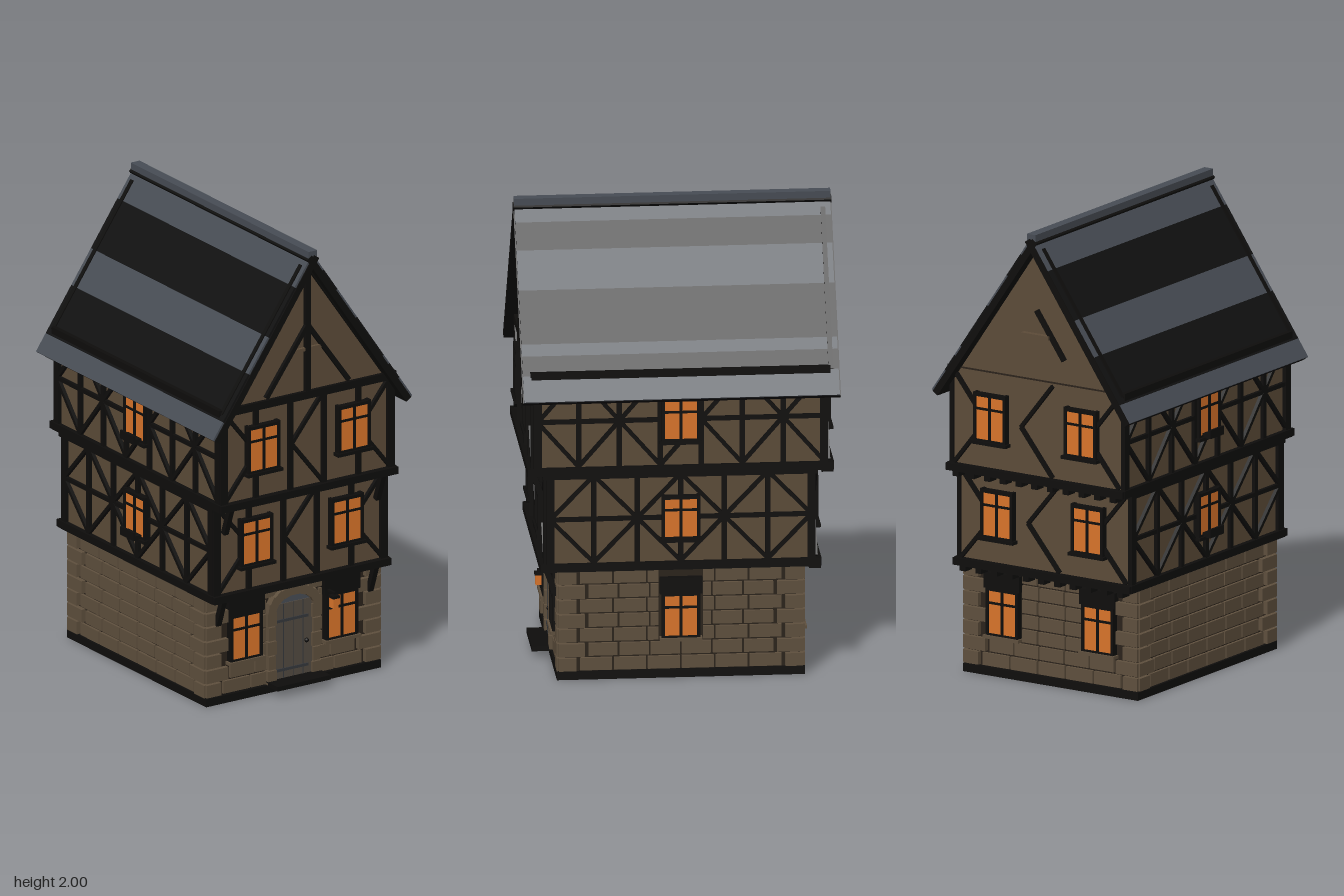
import * as THREE from 'three';

const mat = (name, color) => {
  const m = new THREE.MeshStandardMaterial({ color });
  m.name = name;
  return m;
};
const M = {
  plaster: mat('plaster', 0x5c4b38), timber: mat('timber', 0x0e0d0c), stone: mat('stone', 0x5e4f3d),
  mortar: mat('mortar', 0x2a221a), glass: mat('lit glass', 0xd9742a), door: mat('door wood', 0x524a41),
  slate: mat('slate', 0x474c54), darkSlate: mat('dark slate', 0x101010), iron: mat('iron', 0x34373b),
};

function add(parent, name, geo, m, x = 0, y = 0, z = 0) {
  const mesh = new THREE.Mesh(geo, m);
  mesh.name = name;
  mesh.position.set(x, y, z);
  parent.add(mesh);
  return mesh;
}
const box = (p, name, m, w, h, d, x, y, z) => add(p, name, new THREE.BoxGeometry(w, h, d), m, x, y, z);

// Straight bar between two points of a facade
function beam(p, name, m, x1, y1, x2, y2, w = 0.02, d = 0.02, z = 0.006) {
  const b = box(p, name, m, Math.hypot(x2 - x1, y2 - y1), w, d, (x1 + x2) / 2, (y1 + y2) / 2, z);
  b.rotation.z = Math.atan2(y2 - y1, x2 - x1);
  return b;
}

// Facade frame: local x runs to the viewer's right, local z points outward
function facade(root, name, angle, dist) {
  const g = new THREE.Group();
  g.name = name;
  g.rotation.y = angle;
  g.position.set(Math.sin(angle) * dist, 0, Math.cos(angle) * dist);
  root.add(g);
  return g;
}

function windowUnit(p, x, y, w = 0.15, h = 0.2, lintel = false) {
  const g = new THREE.Group();
  g.name = 'window';
  g.position.set(x, y, 0);
  p.add(g);
  box(g, 'pane', M.glass, w, h, 0.006, 0, 0, 0.02);
  for (const s of [-1, 1]) {
    box(g, 'frameSide', M.timber, 0.014, h + 0.02, 0.034, s * w / 2, 0, 0.012);
    box(g, 'frameRail', M.timber, w, 0.014, 0.034, 0, s * h / 2, 0.012);
  }
  box(g, 'mullion', M.timber, 0.012, h, 0.008, 0, 0, 0.024);
  box(g, 'transom', M.timber, w, 0.01, 0.008, 0, h * 0.2, 0.024);
  box(g, 'sill', lintel ? M.stone : M.timber, w + 0.03, 0.014, 0.04, 0, -h / 2 - 0.008, 0.018);
  if (lintel) box(g, 'lintel', M.timber, w + 0.03, 0.07, 0.04, 0, h / 2 + 0.038, 0.01);
  return g;
}

// Running-bond stonework that leaves the openings free
function masonry(p, half, openings) {
  const rows = 7, y0 = 0.035, rh = 0.064;
  for (let r = 0; r < rows; r++) {
    const y = y0 + (r + 0.5) * rh;
    const quoin = r % 2 ? 0.11 : 0.075;
    for (const s of [-1, 1])
      box(p, 'quoin', M.stone, quoin, rh - 0.008, 0.03, s * (half + 0.012 - quoin / 2), y, 0.006);
    const inner = half - quoin;
    const n = Math.round(2 * inner / 0.135), w = 2 * inner / n;
    for (let i = 0; i < n; i++) {
      let spans = [[-inner + i * w, -inner + (i + 1) * w]];
      for (const [a, b, lo, hi] of openings) {
        if (y + rh * 0.3 < lo || y - rh * 0.3 > hi) continue;
        spans = spans.flatMap(([l, q]) => [[l, Math.min(q, a)], [Math.max(l, b), q]].filter(([c, d]) => d - c > 0.02));
      }
      for (const [l, q] of spans)
        box(p, 'stoneBlock', M.stone, q - l - 0.008, rh - 0.009, 0.024, (l + q) / 2, y, 0);
    }
  }
}

// Chevron of two braces in a panel, pointing at x = apex
function chevron(p, base, apex, lo, hi) {
  const mid = (lo + hi) / 2;
  beam(p, 'brace', M.timber, base, hi, apex, mid, 0.016);
  beam(p, 'brace', M.timber, base, lo, apex, mid, 0.016);
}

function upperFloor(root, lo, hi, hz, panels) {
  const hx = 0.43, y0 = lo + 0.02, y1 = hi - 0.02, mid = (lo + hi) / 2;
  box(root, 'plasterWalls', M.plaster, 2 * hx, hi - lo, 2 * hz, 0, mid, 0);
  // Front and back
  for (const [name, angle] of [['frontFacade', 0], ['backFacade', Math.PI]]) {
    const f = facade(root, name, angle, hz), front = angle === 0;
    for (const s of [-1, 1]) {
      chevron(f, s * 0.42, s * 0.26, y0, y1);
      windowUnit(f, s * 0.23, mid + 0.015);
      if (!front) continue;
      for (const x of [0.085, 0.26, 0.425]) beam(f, 'post', M.timber, s * x, lo, s * x, hi, x > 0.4 ? 0.036 : 0.022);
    }
    chevron(f, 0.08, -0.08, y0, y1);
    box(f, 'sillBeam', M.timber, 0.9, 0.032, 0.045, 0, lo, 0.008);
    if (front) {
      box(f, 'headBeam', M.timber, 0.89, 0.034, 0.03, 0, hi - 0.015, 0.004);
    } else {
      for (let i = 0; i < 11; i++) box(f, 'joistEnd', M.timber, 0.03, 0.03, 0.05, -0.4 + i * 0.08, lo - 0.022, 0.005);
    }
  }
  // Sides
  for (const s of [-1, 1]) {
    const f = facade(root, 'sideFacade', s * Math.PI / 2, hx);
    const span = hz - 0.012, w = 2 * span / panels;
    for (let i = 0; i <= panels; i++) {
      const x = -span + i * w;
      beam(f, 'post', M.timber, x, lo, x, hi, i % panels ? 0.022 : 0.034);
      if (i < panels) chevron(f, i % 2 ? x : x + w, i % 2 ? x + w : x, y0, y1);
    }
    for (const y of [lo, hi - 0.015]) box(f, 'longBeam', M.timber, 2 * hz + 0.03, 0.034, 0.035, 0, y, 0.004);
    box(f, 'midRail', M.timber, 2 * hz, 0.018, 0.02, 0, mid, 0.005);
    windowUnit(f, 0, mid, 0.15, 0.18);
    if (s < 0) {
      box(f, 'sillShelf', M.timber, 0.1, 0.02, 0.045, 0, mid - 0.085, 0.042);
      box(f, 'shelfLip', M.timber, 0.1, 0.035, 0.01, 0, mid - 0.075, 0.06);
    }
  }
}

function groundFloor(root) {
  box(root, 'plinth', M.timber, 0.89, 0.035, 1.05, 0, 0.0175, 0);
  box(root, 'groundWalls', M.mortar, 0.86, 0.47, 1.01, 0, 0.265, 0);
  const f = facade(root, 'groundFront', 0, 0.505), b = facade(root, 'groundBack', Math.PI, 0.505);
  const l = facade(root, 'groundLeft', Math.PI / 2, 0.43), r = facade(root, 'groundRight', -Math.PI / 2, 0.43);
  const wins = [[-0.335, -0.155, 0.17, 0.45], [0.155, 0.335, 0.17, 0.45]];
  masonry(f, 0.43, [...wins, [-0.13, 0.13, 0, 0.42]]);
  masonry(b, 0.43, wins);
  masonry(l, 0.505, [[-0.09, 0.09, 0.17, 0.45]]);
  masonry(r, 0.505, []);
  for (const s of [-1, 1]) {
    windowUnit(f, s * 0.243, 0.28, 0.15, 0.2, true);
    windowUnit(b, s * 0.243, 0.28, 0.15, 0.2, true);
  }
  windowUnit(l, 0, 0.275, 0.15, 0.19, true);

  // Arched doorway
  const arch = new THREE.Shape();
  arch.moveTo(-0.1, 0.04).lineTo(0.1, 0.04).lineTo(0.1, 0.36).absellipse(0, 0.36, 0.1, 0.06, 0, Math.PI, false);
  add(f, 'doorTop', new THREE.ExtrudeGeometry(arch, { depth: 0.012, bevelEnabled: false }), M.slate);
  box(f, 'door', M.door, 0.19, 0.34, 0.012, 0, 0.215, 0.01);
  for (const x of [-0.05, 0, 0.05]) box(f, 'plankSeam', M.iron, 0.003, 0.34, 0.004, x, 0.215, 0.016);
  for (const y of [0.09, 0.31]) box(f, 'hinge', M.iron, 0.17, 0.012, 0.006, -0.01, y, 0.018);
  add(f, 'doorKnob', new THREE.SphereGeometry(0.01, 10, 8), M.timber, 0.065, 0.2, 0.022);
  for (const s of [-1, 1]) for (let i = 0; i < 5; i++)
    box(f, 'jambStone', M.stone, i % 2 ? 0.034 : 0.044, 0.06, 0.04, s * 0.113, 0.068 + i * 0.065, 0.008);
  for (let i = 0; i < 9; i++) {
    const a = Math.PI * (i + 0.5) / 9;
    const v = box(f, 'archStone', M.stone, 0.04, 0.042, 0.045, Math.cos(a) * 0.115, 0.36 + Math.sin(a) * 0.08, 0.01);
    v.rotation.z = a;
  }
  box(f, 'doorStep', M.timber, 0.27, 0.02, 0.1, 0, 0.042, 0.05);

  // Hanging lantern
  box(f, 'lanternArm', M.timber, 0.01, 0.01, 0.08, 0.17, 0.405, 0.04);
  box(f, 'lanternCap', M.timber, 0.034, 0.012, 0.034, 0.17, 0.39, 0.075);
  box(f, 'lanternLight', M.glass, 0.026, 0.045, 0.026, 0.17, 0.362, 0.075);
}

// Slanted brackets under the front overhangs
function brackets(root) {
  for (const [y, z] of [[0.43, 0.55], [0.855, 0.605]]) for (const s of [-1, 1]) {
    const k = box(root, 'bracket', M.timber, 0.024, 0.15, 0.024, s * 0.387, y, z);
    k.rotation.x = 0.35;
  }
}

function roof(root) {
  const yAt = x => 1.985 - 1.455 * Math.abs(x);
  const tri = new THREE.Shape([[-0.43, 1.33], [0.43, 1.33], [0, 1.94]].map(p => new THREE.Vector2(...p)));
  add(root, 'gable', new THREE.ExtrudeGeometry(tri, { depth: 1.24, bevelEnabled: false }), M.plaster, 0, 0, -0.62);

  // Slate bands: edges measured outward from the ridge, light and dark in turn
  const bands = { 1: [0, 0.055, 0.125, 0.225, 0.36, 0.39, 0.44, 0.505], '-1': [0, 0.09, 0.225, 0.325, 0.455, 0.505] };
  const n = new THREE.Vector2(1.455, 1).normalize();
  for (const s of [1, -1]) {
    const strip = (name, m, a, b, off, t, d, z) =>
      beam(root, name, m, s * (a + n.x * off), yAt(a) + n.y * off, s * (b + n.x * off), yAt(b) + n.y * off, t, d, z);
    strip('roofBoard', M.timber, 0, 0.505, -0.022, 0.03, 1.346, 0);
    const e = bands[s];
    for (let i = 0; i + 1 < e.length; i++)
      strip('slateBand', i % 2 ? M.darkSlate : M.slate, e[i], e[i + 1], -0.004, 0.012, 1.336, 0);
    for (const z of s > 0 ? [-0.635] : [-0.635, 0.635]) strip('edgeBatten', M.timber, 0.035, 0.44, 0.003, 0.008, 0.02, z);
  }
  box(root, 'ridgeCap', M.slate, 0.044, 0.03, 1.34, 0, 1.985, 0);

  // Gable framing
  const f = facade(root, 'frontGable', 0, 0.62), b = facade(root, 'backGable', Math.PI, 0.62);
  beam(f, 'kingPost', M.timber, 0, 1.36, 0, 1.94, 0.026);
  for (const s of [-1, 1]) {
    beam(f, 'gableBrace', M.timber, 0, 1.66, s * 0.21, 1.37);
    beam(f, 'gableRafter', M.timber, 0, 1.93, s * 0.42, 1.33, 0.024);
  }
  box(f, 'collarTie', M.plaster, 0.14, 0.014, 0.014, 0, 1.55, 0.006);
  beam(b, 'gableBrace', M.timber, 0, 1.66, 0.14, 1.46);
  box(b, 'collarTie', M.plaster, 0.14, 0.016, 0.03, 0, 1.55, 0.01);
  box(b, 'gableBase', M.mortar, 0.84, 0.006, 0.008, 0, 1.355, 0.002);
}

export function createModel() {
  const root = new THREE.Group();
  root.name = 'timberFramedHouse';
  groundFloor(root);
  upperFloor(root, 0.495, 0.92, 0.565, 6);
  upperFloor(root, 0.92, 1.36, 0.618, 7);
  brackets(root);
  roof(root);
  return root;
}
